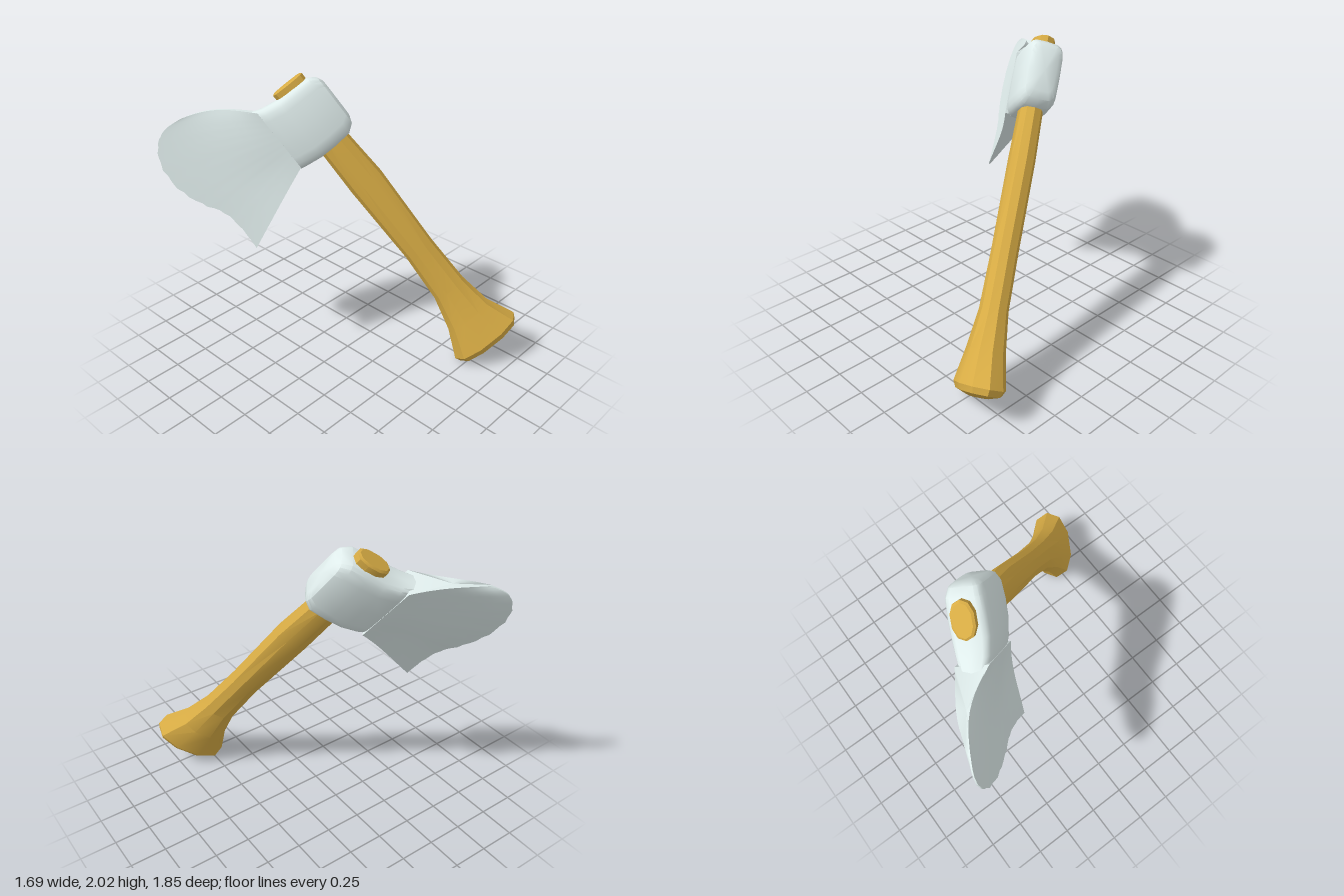
import * as THREE from 'three';
import { toCreasedNormals } from 'three/addons/utils/BufferGeometryUtils.js';

const V = (x, y, z) => new THREE.Vector3(x, y, z);

// Closed skin over a list of rings with equal point counts, capped at both ends
function loft(rings, crease) {
  const n = rings[0].length, pts = rings.flat(), tri = [];
  for (let r = 0; r < rings.length - 1; r++) {
    for (let i = 0; i < n; i++) {
      const a = r * n + i, b = r * n + (i + 1) % n;
      tri.push(a, b, b + n, a, b + n, a + n);
    }
  }
  [0, rings.length - 1].forEach((r, end) => {
    const c = V(0, 0, 0);
    rings[r].forEach(p => c.addScaledVector(p, 1 / n));
    const k = pts.push(c) - 1;
    for (let i = 0; i < n; i++) {
      const a = r * n + i, b = r * n + (i + 1) % n;
      if (end) tri.push(k, a, b); else tri.push(k, b, a);
    }
  });
  // Turn the skin outward if its enclosed volume is negative
  let volume = 0;
  for (let i = 0; i < tri.length; i += 3) {
    volume += pts[tri[i]].dot(V(0, 0, 0).crossVectors(pts[tri[i + 1]], pts[tri[i + 2]]));
  }
  if (volume < 0) tri.reverse();
  const geo = new THREE.BufferGeometry().setFromPoints(pts);
  geo.setIndex(tri);
  return toCreasedNormals(geo, crease);
}

// Rounded-rectangle outline; power 1 is an ellipse, smaller is squarer
function outline(count, power, place, phase = 0) {
  return Array.from({ length: count }, (_, i) => {
    const t = (i / count) * Math.PI * 2 + phase;
    const f = q => Math.sign(q) * Math.abs(q) ** power;
    return place(f(Math.cos(t)), f(Math.sin(t)));
  });
}

// Local frame: y runs up the handle, -x points to the cutting edge, z is thickness
function handleGeometry() {
  // height, centre x, half depth, half thickness
  const stations = [
    [0.025, 0, 0.105, 0.06], [0.015, 0, 0.12, 0.075], [-0.45, 0.005, 0.11, 0.078],
    [-0.82, 0.015, 0.125, 0.085], [-1.43, 0.015, 0.11, 0.085], [-1.8, 0.01, 0.125, 0.09],
    [-2.05, 0, 0.175, 0.12], [-2.27, 0, 0.27, 0.155], [-2.31, 0, 0.25, 0.135], [-2.335, 0, 0.13, 0.07],
  ];
  return loft(stations.map(([y, x, rx, rz]) =>
    outline(10, 0.9, (c, s) => V(x + c * rx, y, s * rz))), 0.45);
}

function headGeometry() {
  // x, top, bottom, half thickness, from the poll towards the blade
  const stations = [
    [0.195, -0.1, -0.39, 0.075], [0.175, -0.06, -0.44, 0.105], [0.12, -0.025, -0.48, 0.125],
    [0, -0.02, -0.49, 0.132], [-0.12, -0.02, -0.49, 0.13], [-0.23, 0, -0.475, 0.115],
    [-0.31, 0.03, -0.46, 0.09], [-0.37, 0.055, -0.45, 0.055],
  ];
  return loft(stations.map(([x, top, bottom, rz]) =>
    outline(20, 0.42, (c, s) => V(x, (top + bottom) / 2 + s * (top - bottom) / 2, c * rz))), 0.6);
}

function bladeGeometry() {
  // Cutting edge from toe to heel: reach, height
  const edge = new THREE.CatmullRomCurve3([
    [0.68, 0.272], [0.8, 0.28], [0.89, 0.24], [0.965, 0.13], [0.985, -0.06],
    [0.93, -0.24], [0.855, -0.38], [0.835, -0.54], [0.843, -0.698],
  ].map(([b, u]) => V(-b, u, 0)));
  const rows = 32, cols = 10, rings = [];
  for (let j = 0; j <= rows; j++) {
    const v = j / rows, out = edge.getPoint(v);
    // Small nicks along the worn edge
    out.x += 0.006 * Math.sin(j * 2.3) * Math.sin(v * Math.PI);
    const root = V(-0.27, 0.0 - 0.45 * v, 0);
    const point = (s, side) => {
      const p = root.clone().lerp(out, s);
      const thick = 0.1 * (1 - s) ** 1.1 * (1 - 0.25 * Math.sin(s * Math.PI)) + 0.005;
      p.y += 0.045 * Math.sin(s * Math.PI) * (1 - v) ** 2;
      p.z = side * thick + 0.03 * s * v * v - 0.03 * Math.sin(s * Math.PI) * (1 - v);
      return p;
    };
    const ring = [];
    for (let i = 0; i <= cols; i++) ring.push(point(i / cols, 1));
    for (let i = cols; i >= 0; i--) ring.push(point(i / cols, -1));
    rings.push(ring);
  }
  return loft(rings, 0.6);
}

export function createModel() {
  const model = new THREE.Group();
  model.name = 'axe';
  const wood = new THREE.MeshStandardMaterial({ color: 0xd9ad45 });
  const steel = new THREE.MeshStandardMaterial({ color: 0xdfeceb });

  const axe = new THREE.Group();
  axe.name = 'tiltedAxe';
  const add = (name, geometry, material) => {
    const mesh = new THREE.Mesh(geometry, material);
    mesh.name = name;
    axe.add(mesh);
  };
  add('handle', handleGeometry(), wood);
  add('head', headGeometry(), steel);
  add('blade', bladeGeometry(), steel);

  // Lean the axe so that it rests on its butt with the blade swung back
  const up = V(-0.308, 0.78, -0.543).normalize();
  const side = V(0.749, 0.551, 0.365).normalize();
  const face = V(0, 0, 0).crossVectors(side, up).normalize();
  side.crossVectors(up, face);
  axe.quaternion.setFromRotationMatrix(new THREE.Matrix4().makeBasis(side, up, face));
  axe.position.set(-0.08, 1.95, -0.45);
  model.add(axe);
  return model;
}
